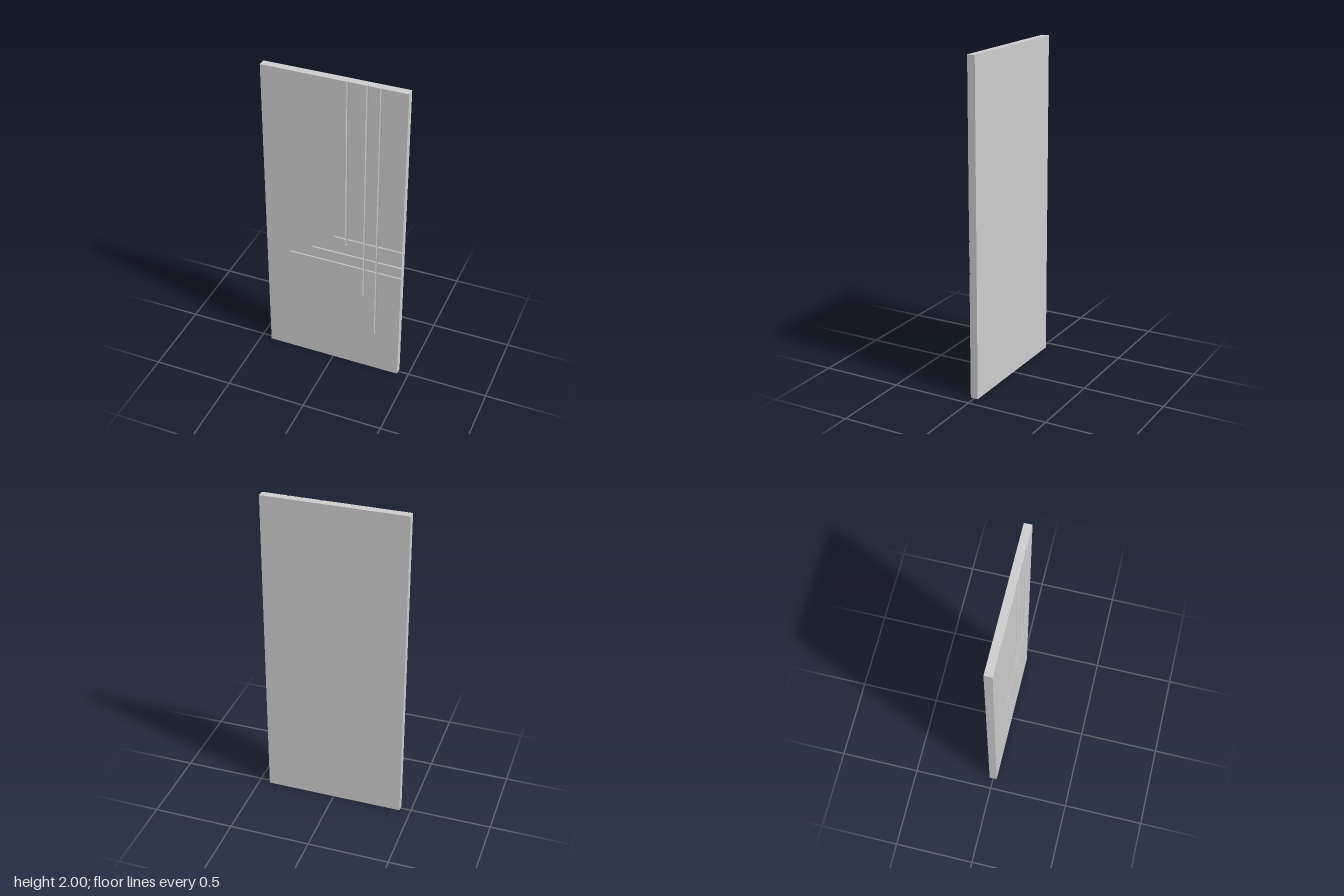
import * as THREE from 'three';
import { toCreasedNormals } from 'three/addons/utils/BufferGeometryUtils.js';

const W = 0.864, H = 2, D = 0.047; // panel size
const R = 0.006;                   // groove radius
const STEPS = 8;                   // facets across a groove

// Vertical grooves run up to the top edge, horizontal ones out to the +x edge.
const vertical = [[0.084, 0.915], [0.198, 0.571], [0.277, 0.291]];     // x, lower end
const horizontal = [[0.955, 0.011], [0.84, -0.126], [0.763, -0.269]];  // y, inner end

// Grid lines: the two outer edges plus a fan of lines across each groove or groove end
function gridLines(min, max, centres) {
  const lines = [min, max];
  for (const c of centres) {
    for (let i = 0; i <= STEPS; i++) lines.push(c - R * Math.cos((Math.PI * i) / STEPS));
  }
  return lines.sort((a, b) => a - b);
}

// Depth of the round-bottomed, round-ended grooves at a point on the front
function grooveDepth(x, y) {
  let d = R;
  for (const [cx, end] of vertical) d = Math.min(d, Math.hypot(x - cx, Math.min(0, y - end)));
  for (const [cy, end] of horizontal) d = Math.min(d, Math.hypot(y - cy, Math.min(0, x - end)));
  return Math.sqrt(Math.max(0, R * R - d * d));
}

export function createModel() {
  const group = new THREE.Group();
  group.name = 'doorPanel';

  const xs = gridLines(-W / 2, W / 2, [...vertical.map(v => v[0]), ...horizontal.map(h => h[1])]);
  const ys = gridLines(0, H, [...horizontal.map(h => h[0]), ...vertical.map(v => v[1])]);
  const nx = xs.length - 1, ny = ys.length - 1;

  // Box with its grid moved onto the lines and its front sunk into the grooves
  const box = new THREE.BoxGeometry(nx, ny, 1, nx, ny, 1);
  const pos = box.attributes.position;
  for (let i = 0; i < pos.count; i++) {
    const x = xs[Math.round(pos.getX(i) + nx / 2)];
    const y = ys[Math.round(pos.getY(i) + ny / 2)];
    const z = pos.getZ(i) > 0 ? D / 2 - grooveDepth(x, y) : -D / 2;
    pos.setXYZ(i, x, y, z);
  }

  const panel = new THREE.Mesh(
    toCreasedNormals(box, 0.6),
    new THREE.MeshStandardMaterial({ color: 0xcccccc })
  );
  panel.name = 'groovedPanel';
  group.add(panel);
  return group;
}
